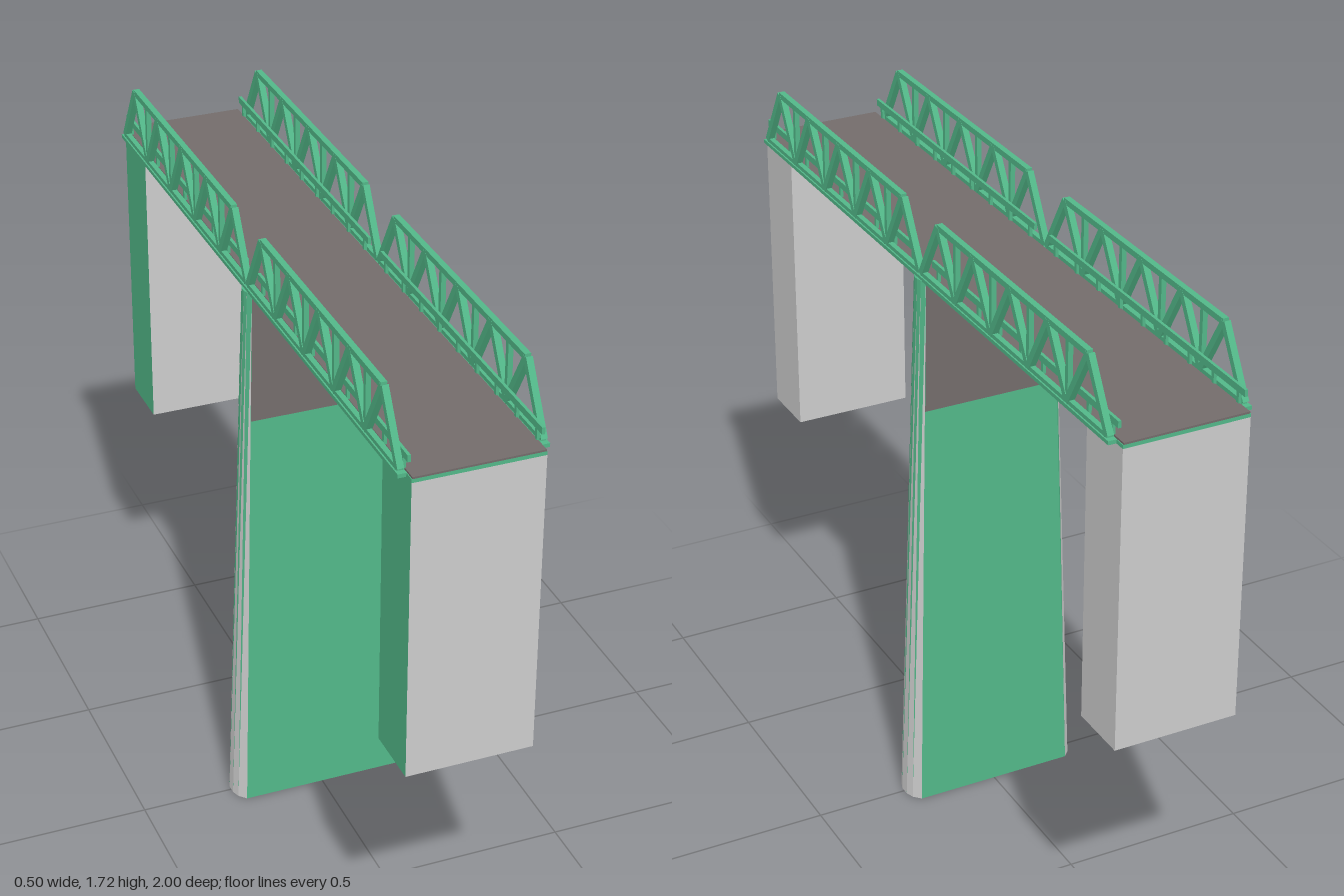
import * as THREE from 'three';

const GREEN = new THREE.MeshStandardMaterial({ color: 0x52b788 });
const GREY = new THREE.MeshStandardMaterial({ color: 0xcccccc });
const ROAD = new THREE.MeshStandardMaterial({ color: 0x736c6b });

const PIER_TOP = 1.54;
const TRUSS_X = 0.176;
const LOW = 1.552, HIGH = 1.716;

function box(parent, name, size, pos, material) {
  const mesh = new THREE.Mesh(new THREE.BoxGeometry(...size), material);
  mesh.name = name;
  mesh.position.set(...pos);
  parent.add(mesh);
  return mesh;
}

// Square bar between two (z, y) points in a plane of constant x
function bar(parent, name, x, [z1, y1], [z2, y2], thick) {
  const length = Math.hypot(z2 - z1, y2 - y1);
  const mesh = box(parent, name, [thick, thick, length], [x, (y1 + y2) / 2, (z1 + z2) / 2], GREEN);
  mesh.rotation.x = -Math.atan2(y2 - y1, z2 - z1);
}

// Pier cross-section at height y, counter-clockwise from above
function pierRing(y) {
  const t = y / PIER_TOP;
  const flat = THREE.MathUtils.lerp(0.222, 0.18, t);
  const tip = THREE.MathUtils.lerp(0.248, 0.193, t);
  const d = THREE.MathUtils.lerp(0.055, 0.03, t);
  const mid = flat + (tip - flat) * 0.7;
  const half = [[flat, d], [mid, d * 0.65], [tip, d * 0.25], [tip, -d * 0.25], [mid, -d * 0.65], [flat, -d]];
  return [...half, ...half.map(([x, z]) => [-x, -z])].map(([x, z]) => new THREE.Vector3(x, y, z));
}

function triangleMesh(name, triangles, material) {
  const geometry = new THREE.BufferGeometry().setFromPoints(triangles.flat());
  geometry.computeVertexNormals();
  const mesh = new THREE.Mesh(geometry, material);
  mesh.name = name;
  return mesh;
}

function makePier() {
  const pier = new THREE.Group();
  pier.name = 'centrePier';
  const low = pierRing(0), high = pierRing(PIER_TOP);
  const green = [], grey = [];
  const n = low.length;
  for (let i = 0; i < n; i++) {
    const j = (i + 1) % n;
    // Tapering grey wedges on the noses, green elsewhere
    const isFlat = i === 5 || i === 11;
    (isFlat ? green : grey).push([low[i], low[j], high[j]]);
    green.push([low[i], high[j], high[i]]);
    if (i > 0 && i < n - 1) {
      green.push([low[0], low[i + 1], low[i]]);
      green.push([high[0], high[i], high[i + 1]]);
    }
  }
  pier.add(triangleMesh('pierBody', green, GREEN), triangleMesh('pierNoses', grey, GREY));

  // Dark panels on the upper part of both broad faces
  const pl = pierRing(1.18), ph = pierRing(PIER_TOP);
  const panels = [];
  for (const [a, b, s] of [[11, 0, 1], [5, 6, -1]]) {
    const out = (v) => v.clone().add(new THREE.Vector3(0, 0, 0.002 * s));
    const [p, q, r, u] = [pl[a], pl[b], ph[b], ph[a]].map(out);
    panels.push([p, q, r], [p, r, u]);
  }
  pier.add(triangleMesh('pierPanels', panels, ROAD));
  return pier;
}

// One span of truss and handrail; side is the sign of x, end the sign of z
function makeTruss(side, end) {
  const truss = new THREE.Group();
  truss.name = `${side > 0 ? 'left' : 'right'}${end > 0 ? 'Front' : 'Back'}Truss`;
  const x = side * TRUSS_X;
  const bays = 5, start = 0.005, step = 0.19;
  const at = (i) => end * (start + i * step);

  bar(truss, 'topChord', x, [at(0.5), HIGH], [at(bays - 0.5), HIGH], 0.016);
  bar(truss, 'bottomChord', x, [at(0), LOW], [at(bays), LOW], 0.014);
  for (let i = 0; i < bays; i++) {
    bar(truss, 'diagonal', x, [at(i), LOW], [at(i + 0.5), HIGH], 0.017);
    bar(truss, 'diagonal', x, [at(i + 0.5), HIGH], [at(i + 1), LOW], 0.017);
    if (i > 0) bar(truss, 'vertical', x, [at(i), LOW], [at(i), HIGH], 0.013);
  }

  // Low handrail on short posts inside the truss
  const railX = side * 0.164;
  box(truss, 'handrail', [0.008, 0.018, 0.94], [railX, 1.59, end * 0.51], GREEN);
  for (let i = 0; i < 9; i++) {
    box(truss, 'railPost', [0.008, 0.04, 0.01], [railX, 1.565, end * (0.07 + i * 0.11)], GREEN);
  }
  return truss;
}

export function createModel() {
  const bridge = new THREE.Group();
  bridge.name = 'trussBridge';

  // Deck: green slab, side ledges and road surface
  box(bridge, 'deckSlab', [0.332, 0.01, 2], [0, 1.543, 0], GREEN);
  box(bridge, 'roadSurface', [0.328, 0.005, 2], [0, 1.5505, 0], ROAD);
  for (const side of [1, -1]) {
    box(bridge, 'deckLedge', [0.022, 0.01, 1.94], [side * TRUSS_X, 1.543, 0], GREEN);
  }

  // Abutments under both ends, green on one side and beneath
  for (const end of [1, -1]) {
    box(bridge, end > 0 ? 'frontAbutment' : 'backAbutment', [0.332, 0.812, 0.165],
      [0, 1.132, end * 0.9175], [GREY, GREEN, GREY, GREEN, GREY, GREY]);
  }

  bridge.add(makePier());
  for (const side of [1, -1]) {
    for (const end of [1, -1]) bridge.add(makeTruss(side, end));
  }
  return bridge;
}
